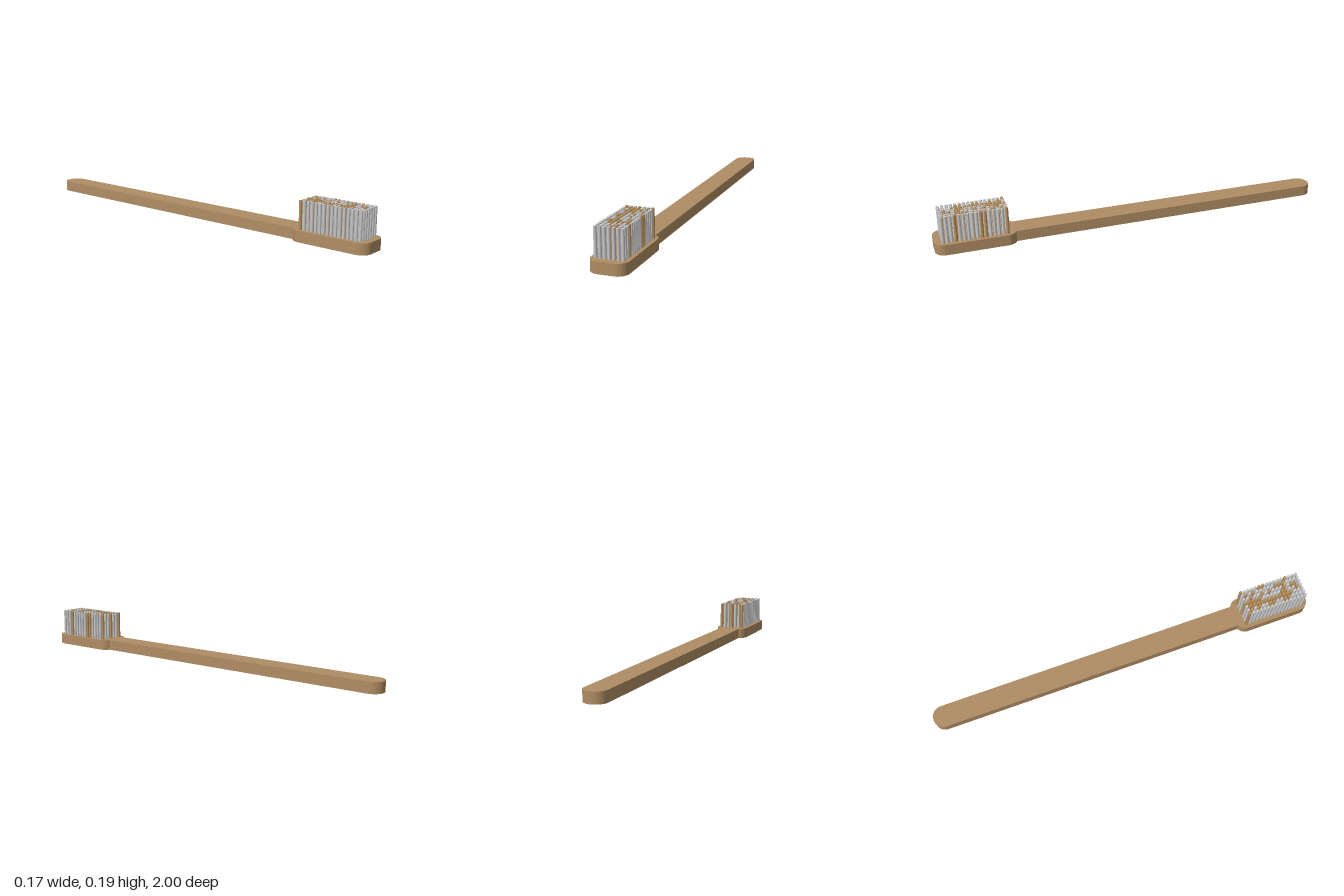
import * as THREE from 'three';

const THICK = 0.053;

// Plan outline of the brush: rounded head running into a long handle (shape y = -z)
function outline() {
  const s = new THREE.Shape();
  const hw = 0.085, r = 0.05, w = 0.055, e = 0.052;
  const back = -0.66, join = Math.acos((w - hw + r) / r);
  s.moveTo(-hw + r, -1);
  s.lineTo(hw - r, -1);
  s.absarc(hw - r, -1 + r, r, -Math.PI / 2, 0, false);
  s.lineTo(hw, back);
  s.absarc(hw - r, back, r, 0, join, false);
  s.lineTo(w, 1 - e);
  s.absarc(w - e, 1 - e, e, 0, Math.PI / 2, false);
  s.absarc(-w + e, 1 - e, e, Math.PI / 2, Math.PI, false);
  s.lineTo(-w, back + r * Math.sin(join));
  s.absarc(-hw + r, back, r, Math.PI - join, Math.PI, false);
  s.lineTo(-hw, -1 + r);
  s.absarc(-hw + r, -1 + r, r, Math.PI, Math.PI * 1.5, false);
  return s;
}

export function createModel() {
  const wood = new THREE.MeshStandardMaterial({ color: 0xb08d64 });
  wood.name = 'wood';
  const grey = new THREE.MeshStandardMaterial({ color: 0xc8c8c8 });
  grey.name = 'bristleGrey';
  const tan = new THREE.MeshStandardMaterial({ color: 0xb8905c });
  tan.name = 'bristleTan';

  const group = new THREE.Group();
  group.name = 'brush';

  // Handle and head in one piece
  const bodyGeo = new THREE.ExtrudeGeometry(outline(), { depth: THICK, bevelEnabled: false, curveSegments: 20 });
  bodyGeo.rotateX(-Math.PI / 2);
  const body = new THREE.Mesh(bodyGeo, wood);
  body.name = 'handleAndHead';
  group.add(body);

  // Bristles: 7 columns by 16 rows, a seeded mix of grey and tan
  let seed = 11;
  const random = () => (seed = (seed * 16807) % 2147483647) / 2147483647;
  const height = 0.135, cols = 7, rows = 16;
  const bristleGeo = new THREE.CylinderGeometry(0.0075, 0.0075, height, 10);
  const bristles = new THREE.Group();
  bristles.name = 'bristles';
  const tanOnLeftEdge = [0, 5, 6, 12];
  for (let j = 0; j < rows; j++) {
    for (let i = 0; i < cols; i++) {
      let isTan = random() < (i === 0 || j === 0 ? 0.25 : 0.5);
      if (i === cols - 1) isTan = tanOnLeftEdge.includes(j);
      if (j === rows - 1) isTan = false;
      const bristle = new THREE.Mesh(bristleGeo, isTan ? tan : grey);
      bristle.name = 'bristle';
      bristle.position.set(0.001 + (i - 3) * 0.0203, THICK + height / 2, 0.655 + j * 0.0203);
      bristles.add(bristle);
    }
  }
  group.add(bristles);
  return group;
}
